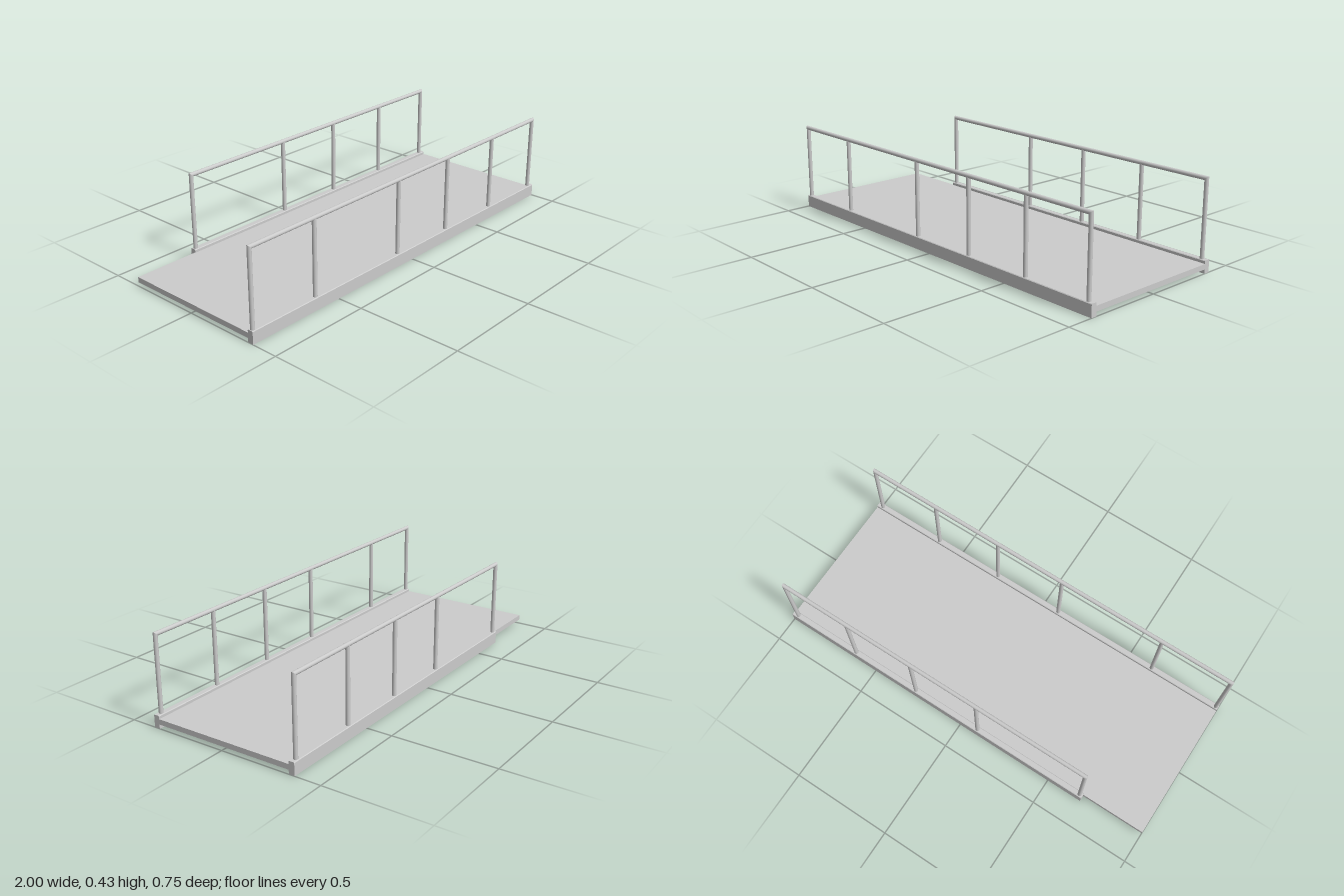
import * as THREE from 'three';

const R = 0.01;        // pipe radius
const RAIL_Y = 0.42;   // handrail centre line
const CURB_TOP = 0.06;

export function createModel() {
  const group = new THREE.Group();
  const material = new THREE.MeshStandardMaterial({ color: 0xcccccc });
  const add = (parent, name, geometry, x, y, z) => {
    const mesh = new THREE.Mesh(geometry, material);
    mesh.name = name;
    mesh.position.set(x, y, z);
    parent.add(mesh);
  };

  // Walking deck
  add(group, 'deck', new THREE.BoxGeometry(2, 0.025, 0.7), 0, 0.0325, 0);

  // Curb beam with slightly bevelled top edges, extruded along x
  function curb(x0, x1) {
    const w = 0.014, b = 0.003;
    const s = new THREE.Shape();
    s.moveTo(-w, 0);
    s.lineTo(w, 0);
    s.lineTo(w, CURB_TOP - b);
    s.lineTo(w - b, CURB_TOP);
    s.lineTo(b - w, CURB_TOP);
    s.lineTo(-w, CURB_TOP - b);
    const g = new THREE.ExtrudeGeometry(s, { depth: x1 - x0, bevelEnabled: false });
    return g.rotateY(Math.PI / 2).translate(x0, 0, 0);
  }

  // Upright pipe; miter is -1 or 1 for the outer side of an end post, 0 between
  function post(miter) {
    const h = RAIL_Y - CURB_TOP + 0.01;
    const g = new THREE.CylinderGeometry(R, R, h, 16).translate(0, -h / 2, 0);
    const p = g.attributes.position;
    for (let i = 0; i < p.count; i++) {
      if (p.getY(i) > -0.001) p.setY(i, miter * p.getX(i));
    }
    return g;
  }

  // Horizontal pipe with both ends cut at 45 degrees to meet the end posts
  function handrail(length) {
    const g = new THREE.CylinderGeometry(R, R, length, 16).rotateZ(Math.PI / 2);
    const p = g.attributes.position;
    for (let i = 0; i < p.count; i++) {
      const x = p.getX(i);
      p.setX(i, x + Math.sign(x) * p.getY(i));
    }
    return g;
  }

  // One side: curb, posts and top rail
  function side(name, z, curbStart, posts) {
    const rail = new THREE.Group();
    rail.name = name;
    rail.position.z = z;
    add(rail, 'curb', curb(curbStart, 1), 0, 0, 0);
    const first = posts[0], last = posts[posts.length - 1];
    for (const x of posts) {
      add(rail, 'post', post(x === first ? -1 : x === last ? 1 : 0), x, RAIL_Y, 0);
    }
    add(rail, 'handrail', handrail(last - first), (first + last) / 2, RAIL_Y, 0);
    group.add(rail);
  }

  const shared = [-0.093, 0.263, 0.618, 0.972];
  side('frontRailing', 0.361, -1, [-0.987, -0.63, ...shared]);
  side('backRailing', -0.36, -0.68, [-0.665, ...shared]); // short, leaves an opening

  return group;
}
